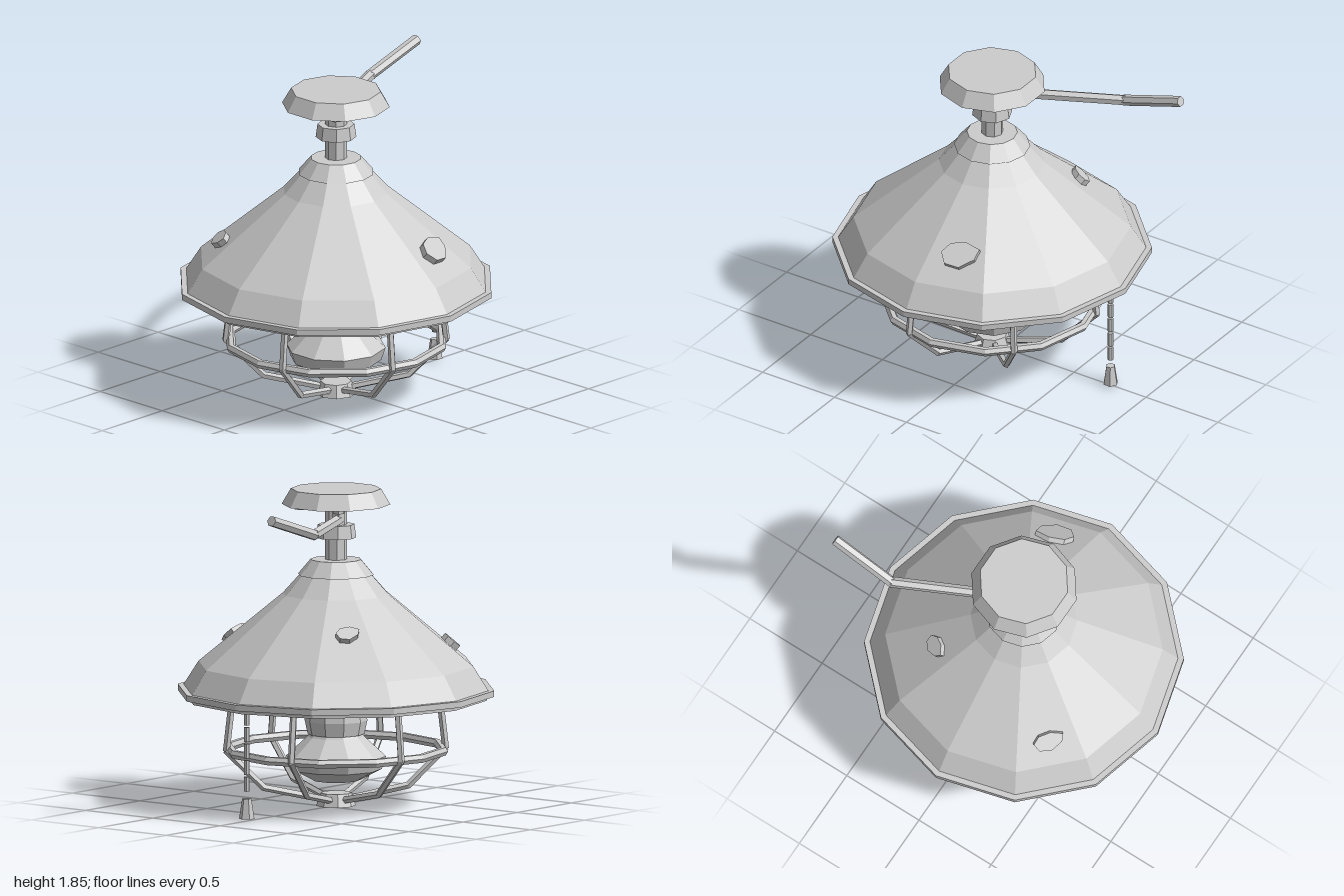
import * as THREE from 'three';

const CX = -0.07; // lamp axis
const V = (x, y, z) => new THREE.Vector3(x, y, z);

export function createModel() {
  const root = new THREE.Group();
  const metal = new THREE.MeshStandardMaterial({ color: 0xcccccc, flatShading: true });
  metal.name = 'pale grey';

  const add = (name, geo, x = 0, y = 0, z = 0, parent = root) => {
    const m = new THREE.Mesh(geo, metal);
    m.name = name;
    m.position.set(x, y, z);
    parent.add(m);
    return m;
  };
  // upright tapered prism between two heights
  const prism = (name, rTop, rBottom, y0, y1, sides, x = CX, z = 0) =>
    add(name, new THREE.CylinderGeometry(rTop, rBottom, y1 - y0, sides), x, (y0 + y1) / 2, z);
  // straight bar between two points
  const bar = (name, a, b, r, sides, parent = root) => {
    const d = b.clone().sub(a);
    const mid = a.clone().add(b).multiplyScalar(0.5);
    const m = add(name, new THREE.CylinderGeometry(r, r, d.length() + r * 0.4, sides), mid.x, mid.y, mid.z, parent);
    m.quaternion.setFromUnitVectors(V(0, 1, 0), d.normalize());
    return m;
  };
  const lathe = (name, pts, sides) =>
    add(name, new THREE.LatheGeometry(pts.map(p => new THREE.Vector2(...p)), sides), CX);

  // ceiling mount, bolts and stem
  prism('ceilingMount', 0.262, 0.315, 1.762, 1.853, 10);
  for (const sx of [-1, 1]) for (const sz of [-1, 1])
    prism('mountBolt', 0.035, 0.035, 1.736, 1.77, 6, CX + sx * 0.15, sz * 0.145);
  prism('stem', 0.064, 0.064, 1.42, 1.77, 8);
  prism('stemCollar', 0.107, 0.118, 1.567, 1.645, 8);

  // shade: closed cone with flared skirt, cap and rims
  lathe('shade', [[0, 0.64], [0.885, 0.64], [0.893, 0.69], [0.805, 0.829], [0.31, 1.24], [0.14, 1.43], [0, 1.43]], 12);
  prism('shadeCap', 0.147, 0.222, 1.352, 1.441, 12);
  prism('shadeRim', 0.927, 0.927, 0.655, 0.69, 12);
  prism('lowerRim', 0.885, 0.885, 0.632, 0.657, 12);

  // raised chips lying on the slope of the shade
  const outline = [[-0.5, 0], [-0.3, 0.38], [0.1, 0.5], [0.5, 0.3], [0.42, -0.12], [0.05, -0.5], [-0.35, -0.42]];
  for (const [x, z, len, wid] of [[0.11, 0.6, 0.22, 0.16], [-0.54, -0.46, 0.18, 0.11], [0.285, -0.37, 0.14, 0.1]]) {
    const shape = new THREE.Shape(outline.map(([u, v]) => new THREE.Vector2(u * len, v * wid)));
    const geo = new THREE.ExtrudeGeometry(shape, { depth: 0.055, bevelEnabled: false }).translate(0, 0, -0.02);
    const a = Math.atan2(x - CX, z);
    const r = Math.hypot(x - CX, z) / Math.cos(Math.PI / 12);
    const tangent = V(Math.cos(a), 0, -Math.sin(a));
    const normal = V(0.64 * Math.sin(a), 0.77, 0.64 * Math.cos(a)).normalize();
    const up = normal.clone().cross(tangent);
    const chip = add('shadeChip', geo, x, 0.829 + (0.805 - r) * 0.83, z);
    chip.quaternion.setFromRotationMatrix(new THREE.Matrix4().makeBasis(tangent, up, normal));
  }

  // socket and bulb
  lathe('socket', [[0, 0.42], [0.165, 0.42], [0.182, 0.5], [0.165, 0.635]], 10);
  lathe('bulb', [[0, 0.15], [0.14, 0.15], [0.265, 0.215], [0.29, 0.29], [0.165, 0.405], [0.15, 0.43], [0, 0.43]], 10);

  // guard cage: two rings, six bent ribs and a bottom hub
  const cage = new THREE.Group();
  cage.name = 'guardCage';
  cage.position.x = CX;
  root.add(cage);
  lathe('cageTopRing', [[0.57, 0.635], [0.57, 0.605], [0.63, 0.605], [0.665, 0.618], [0.665, 0.635]], 12);
  add('cageMiddleRing', new THREE.TorusGeometry(0.63, 0.027, 6, 12), 0, 0.33, 0, cage).rotation.x = Math.PI / 2;
  const ribPath = [[0.605, 0.62], [0.638, 0.33], [0.42, 0.112], [0.08, 0.04]];
  for (let i = 0; i < 6; i++) {
    const a = THREE.MathUtils.degToRad(45 + i * 60);
    const pts = ribPath.map(([r, y]) => V(r * Math.cos(a), y, r * Math.sin(a)));
    for (let k = 0; k < 3; k++) bar('cageRib', pts[k], pts[k + 1], 0.021, 5, cage);
  }
  prism('cageHub', 0.09, 0.115, 0, 0.075, 8);

  // pull chain with weight
  for (let i = 0; i < 5; i++) {
    const top = 0.645 - i * 0.0965;
    prism('chainLink', 0.017, 0.017, top - 0.085, top, 6, 0.754);
  }
  prism('pullWeight', 0.027, 0.045, 0.014, 0.132, 6, 0.754).rotation.y = Math.PI / 2;

  // bent conduit arm with its bracket
  const arm = [V(0.035, 1.69, -0.1), V(0.6, 1.69, -0.375), V(0.985, 1.812, -0.375)];
  for (let k = 0; k < 2; k++) bar('conduitArm', arm[k], arm[k + 1], 0.032, 6);
  add('armBracket', new THREE.BoxGeometry(0.05, 0.09, 0.05), 0.045, 1.725, -0.11);

  return root;
}
